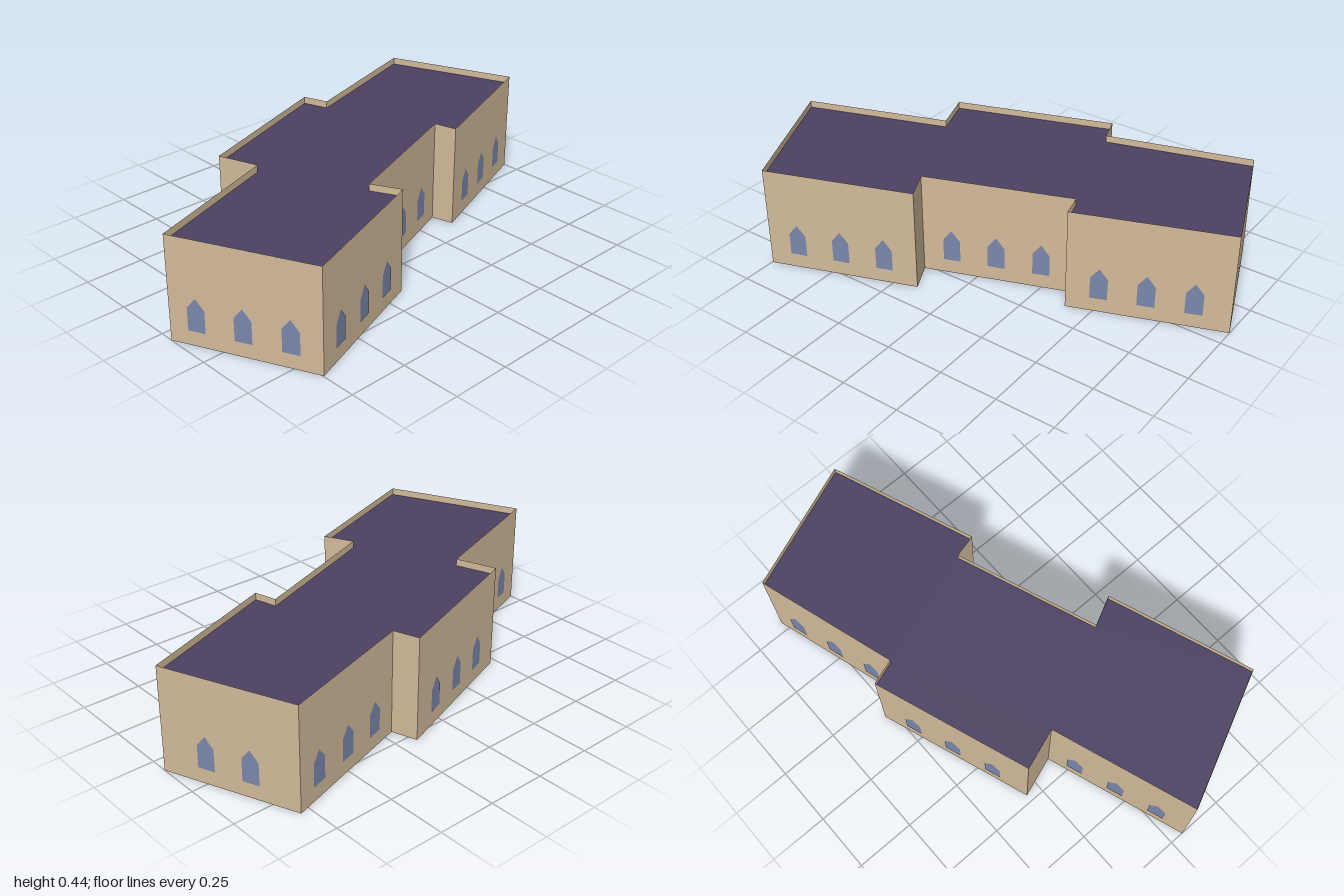
import * as THREE from 'three';

const HEIGHT = 0.44, ROOF_Y = 0.41, SPACING = 0.185;

// Footprint corners [x, z] and the number of windows on the wall that starts there
const OUTLINE = [
  [0.058, 1.0, 3], [0.604, 0.747, 3], [0.39, 0.153, 0], [0.27, 0.212, 3],
  [0.056, -0.372, 0], [0.15, -0.396, 3], [-0.075, -1.0, 2], [-0.606, -0.79, 3],
  [-0.43, -0.205, 0], [-0.535, -0.17, 3], [-0.311, 0.471, 0], [-0.144, 0.413, 3],
];

export function createModel() {
  const wallMat = new THREE.MeshStandardMaterial({ color: 0xd3bb9a, side: THREE.DoubleSide });
  wallMat.name = 'sandstone';
  const roofMat = new THREE.MeshStandardMaterial({ color: 0x4c4262, side: THREE.DoubleSide });
  roofMat.name = 'purple slate';
  const glassMat = new THREE.MeshStandardMaterial({ color: 0x7a88ab });
  glassMat.name = 'blue glass';

  const model = new THREE.Group();
  model.name = 'building';

  // Pointed window shape, standing on the wall base line
  const windowGeo = new THREE.ShapeGeometry(new THREE.Shape([
    [-0.035, 0.062], [0.035, 0.062], [0.035, 0.157], [0, 0.202], [-0.035, 0.157],
  ].map(([x, y]) => new THREE.Vector2(x, y))));

  // Walls: thin sheets around the footprint, open underneath
  OUTLINE.forEach(([ax, az, count], i) => {
    const [bx, bz] = OUTLINE[(i + 1) % OUTLINE.length];
    const length = Math.hypot(bx - ax, bz - az);
    const side = new THREE.Group();
    side.name = 'side' + (i + 1);
    side.position.set((ax + bx) / 2, 0, (az + bz) / 2);
    side.rotation.y = Math.atan2(az - bz, bx - ax);

    const wall = new THREE.Mesh(new THREE.PlaneGeometry(length, HEIGHT), wallMat);
    wall.name = 'wall';
    wall.position.y = HEIGHT / 2;
    side.add(wall);

    for (let k = 0; k < count; k++) {
      const pane = new THREE.Mesh(windowGeo, glassMat);
      pane.name = 'window';
      pane.position.set((k - (count - 1) / 2) * SPACING - 0.006, 0, 0.002);
      side.add(pane);
    }
    model.add(side);
  });

  // Flat roof, sunk a little below the parapet
  const roofShape = new THREE.Shape(OUTLINE.map(([x, z]) => new THREE.Vector2(x, -z)));
  const roof = new THREE.Mesh(new THREE.ShapeGeometry(roofShape).rotateX(-Math.PI / 2), roofMat);
  roof.name = 'roof';
  roof.position.y = ROOF_Y;
  model.add(roof);

  return model;
}
